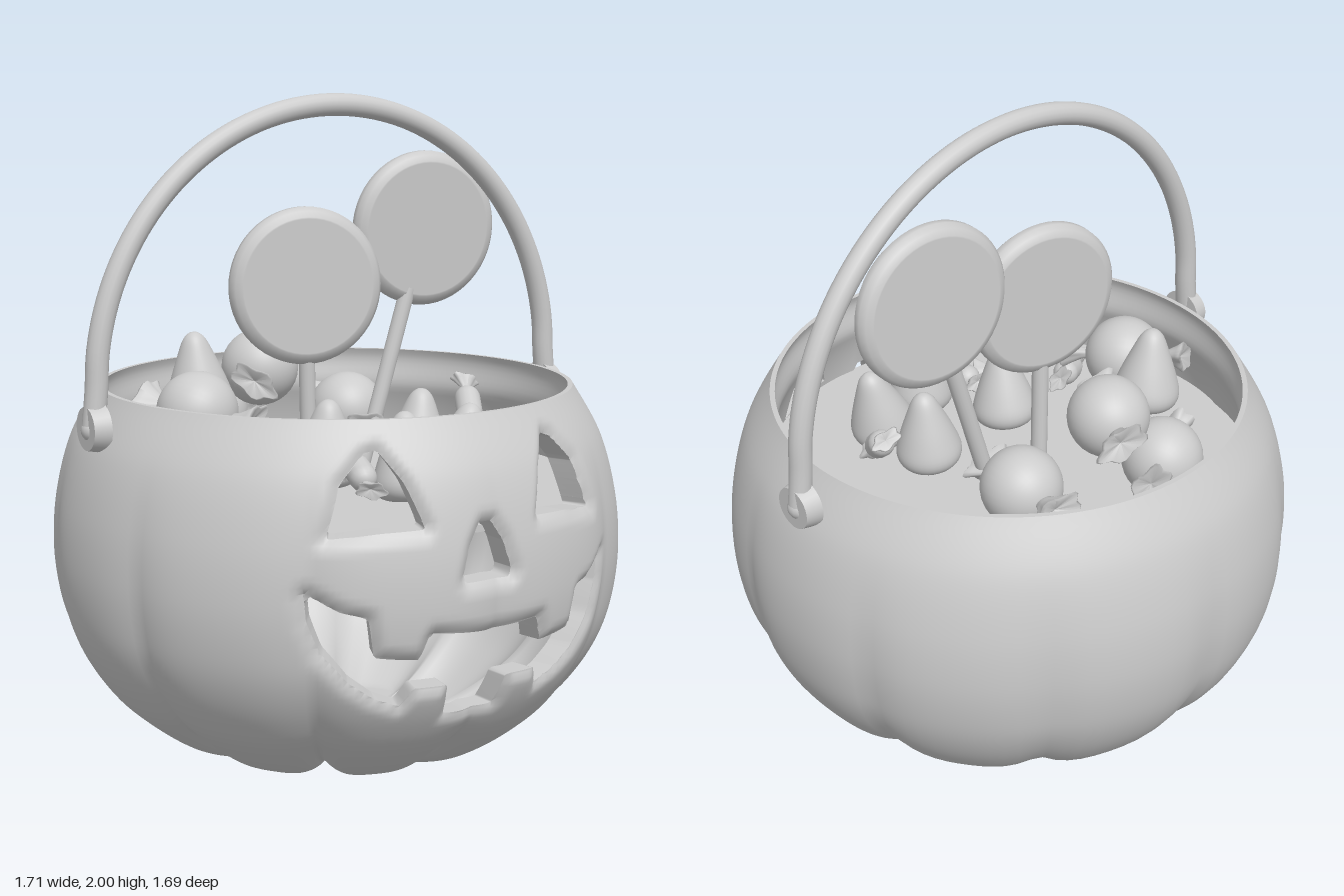
import * as THREE from 'three';
import { mergeVertices } from 'three/addons/utils/BufferGeometryUtils.js';

const V2 = (p) => new THREE.Vector2(p[0], p[1]);
const V3 = (x, y, z) => new THREE.Vector3(x, y, z);
const { smoothstep } = THREE.MathUtils;
const plastic = new THREE.MeshStandardMaterial({ color: 0xcccccc });
plastic.name = 'light grey';

function add(parent, name, geometry, x = 0, y = 0, z = 0) {
  const mesh = new THREE.Mesh(geometry, plastic);
  mesh.name = name;
  mesh.position.set(x, y, z);
  parent.add(mesh);
  return mesh;
}

// Face openings, given as one half around the face centre and mirrored
const FACE_X = -0.03;
const right = (pts) => pts.map(([x, y]) => [FACE_X + x, y]);
const left = (pts) => pts.map(([x, y]) => [FACE_X - x, y]);
const eye = [[0.27, 1.075], [0.22, 0.99], [0.18, 0.87], [0.3, 0.865], [0.43, 0.85], [0.38, 0.99], [0.31, 1.06]];
const nose = [[0.02, 0.875], [0.055, 0.82], [0.083, 0.73], [0.07, 0.718]];
const mouth = [[0, 0.575], [0.175, 0.59], [0.2, 0.515], [0.32, 0.53], [0.34, 0.64], [0.41, 0.66], [0.485, 0.71],
  [0.475, 0.63], [0.44, 0.54], [0.37, 0.455], [0.3, 0.405], [0.225, 0.375], [0.2, 0.43], [0.1, 0.43], [0.085, 0.335], [0, 0.325]];
const closed = (half) => [...right(half), ...left(half).reverse()];
const holes = [right(eye), left(eye), closed(nose), closed(mouth)];

// Signed distance to the openings, negative inside
function holeDistance(x, y) {
  let best = 1, inside = false;
  for (const h of holes) {
    for (let i = 0, j = h.length - 1; i < h.length; j = i++) {
      const [ax, ay] = h[j], [bx, by] = h[i];
      const ex = bx - ax, ey = by - ay;
      const t = Math.min(1, Math.max(0, ((x - ax) * ex + (y - ay) * ey) / (ex * ex + ey * ey || 1)));
      best = Math.min(best, Math.hypot(x - ax - t * ex, y - ay - t * ey));
      if ((ay > y) !== (by > y) && x < ax + (ex * (y - ay)) / ey) inside = !inside;
    }
  }
  return inside ? -best : best;
}

function smoothGeometry(positions) {
  const g = new THREE.BufferGeometry();
  g.setAttribute('position', new THREE.Float32BufferAttribute(positions, 3));
  const merged = mergeVertices(g, 1e-5);
  merged.computeVertexNormals();
  return merged;
}

// Ribbed pumpkin shell; the grid is clipped where it meets the openings
function buildShell(parent) {
  const profile = new THREE.SplineCurve([[0, 0.045], [0.07, 0.025], [0.17, 0.003], [0.3, 0.02], [0.5, 0.085], [0.66, 0.2],
    [0.75, 0.305], [0.81, 0.415], [0.843, 0.53], [0.856, 0.67], [0.842, 0.83], [0.795, 1.0], [0.71, 1.15]].map(V2));
  const ROWS = 92, COLS = 200;
  const rings = profile.getSpacedPoints(ROWS);

  const vertex = (col, row) => {
    const u = (col / COLS) * 2 - 1;
    const angle = Math.PI * (0.45 * u + 0.55 * u ** 3);
    const p = rings[row];
    const groove = (1 - Math.abs(Math.sin(5 * angle))) ** 2;
    const depth = 0.025 * (1 - smoothstep(p.y, 0.5, 1.1)) + 0.05 * (1 - smoothstep(p.y, 0, 0.5));
    const r = p.x * (1 - groove * depth);
    const y = p.y + 0.045 * groove * (1 - smoothstep(p.y, 0, 0.3)) * smoothstep(p.x, 0, 0.15);
    const s = Math.sin(angle), c = Math.cos(angle);
    const d = c > 0 ? holeDistance(s * r, y) : 1;
    const lip = 0.022 * Math.max(0, 1 - Math.max(0, d) / 0.035) ** 2;
    const ro = r - lip;
    const ri = Math.max(0, r - 0.015 - 0.075 * smoothstep(1.15 - y, 0, 0.14));
    return { o: V3(s * ro, y, c * ro), i: V3(s * ri, Math.max(y, 0.07), c * ri), d };
  };
  const grid = [];
  for (let r = 0; r <= ROWS; r++) {
    grid.push([]);
    for (let c = 0; c <= COLS; c++) grid[r].push(vertex(c, r));
  }

  const outer = [], inner = [], walls = [], rim = [];
  const push = (list, ...pts) => pts.forEach((p) => list.push(p.x, p.y, p.z));
  const quad = (list, a, b, c, d) => push(list, a, b, c, a, c, d);
  const clip = (tri) => {
    const poly = [];
    let exit, entry;
    tri.forEach((a, k) => {
      const b = tri[(k + 1) % 3];
      if (a.d > 0) poly.push(a);
      if ((a.d > 0) !== (b.d > 0)) {
        const t = a.d / (a.d - b.d);
        const m = { o: a.o.clone().lerp(b.o, t), i: a.i.clone().lerp(b.i, t) };
        poly.push(m);
        if (a.d > 0) exit = m; else entry = m;
      }
    });
    for (let k = 1; k + 1 < poly.length; k++) {
      push(outer, poly[0].o, poly[k].o, poly[k + 1].o);
      push(inner, poly[0].i, poly[k + 1].i, poly[k].i);
    }
    if (exit) quad(walls, entry.o, exit.o, exit.i, entry.i);
  };
  for (let r = 0; r < ROWS; r++) {
    for (let c = 0; c < COLS; c++) {
      const a = grid[r][c], b = grid[r][c + 1], e = grid[r + 1][c + 1], f = grid[r + 1][c];
      clip([a, b, e]);
      clip([a, e, f]);
      if (r === ROWS - 1) quad(rim, f.o, e.o, e.i, f.i);
    }
  }
  add(parent, 'pumpkinOutside', smoothGeometry(outer));
  add(parent, 'pumpkinInside', smoothGeometry(inner));
  add(parent, 'faceOpeningWalls', smoothGeometry(walls));
  add(parent, 'rim', smoothGeometry(rim));
}

// Flared, ruffled and flattened wrapper end opening along +y
function wrapperEnd(size) {
  const g = new THREE.LatheGeometry([[0, 0], [0.3, 0.05], [0.4, 0.35], [0.75, 0.8], [0.95, 1], [0.85, 1.08], [0, 0.8]].map(V2), 28);
  const p = g.attributes.position;
  for (let i = 0; i < p.count; i++) {
    const x = p.getX(i), y = p.getY(i), z = p.getZ(i);
    const ruffle = 1 + 0.14 * y * Math.cos(5 * Math.atan2(z, x));
    p.setXYZ(i, x * ruffle * size, y * size, z * ruffle * size * 0.55);
  }
  g.computeVertexNormals();
  return g;
}

// Wrapped sweet lying along the horizontal direction (dx, dz)
function wrappedSweet(parent, name, x, y, z, dx, dz, core, reach, endSize, rise = 0) {
  const sweet = new THREE.Group();
  sweet.name = name;
  add(sweet, 'sweetCore', core);
  for (const side of [1, -1]) {
    const end = add(sweet, 'wrapperEnd', wrapperEnd(endSize), 0, side * reach, 0);
    if (side < 0) end.rotation.x = Math.PI;
  }
  sweet.position.set(x, y, z);
  sweet.quaternion.setFromUnitVectors(V3(0, 1, 0), V3(dx, rise, dz).normalize());
  parent.add(sweet);
}

function lollipop(parent, x, y, z, radius, yaw, lean, foot) {
  const pop = new THREE.Group();
  pop.name = 'lollipop';
  const h = 0.035, r = radius;
  const disc = add(pop, 'lollipopDisc', new THREE.LatheGeometry([[0, -h], [r - 0.035, -h], [r - 0.03, -h], [r - 0.012, -h * 0.75],
    [r, -h * 0.3], [r, h * 0.3], [r - 0.012, h * 0.75], [r - 0.03, h], [r - 0.035, h], [0, h]].map(V2), 56), x, y, z);
  disc.rotation.set(Math.PI / 2 + lean, 0, 0);
  disc.rotation.order = 'YXZ';
  disc.rotation.y = yaw;
  const path = new THREE.LineCurve3(V3(...foot), V3(x, y, z).lerp(V3(...foot), 0.25));
  add(pop, 'lollipopStick', new THREE.TubeGeometry(path, 1, 0.025, 16));
  parent.add(pop);
}

export function createModel() {
  const model = new THREE.Group();
  model.name = 'pumpkinBucket';
  buildShell(model);

  // Filling surface inside the bucket
  add(model, 'fillingFloor', new THREE.CylinderGeometry(0.75, 0.75, 0.02, 64), 0, 0.84, 0);

  // Carrying handle and its side mounts
  const arc = [V3(-0.797, 1.07, 0)];
  for (let i = 0; i <= 24; i++) {
    const a = Math.PI * (1 - i / 24);
    arc.push(V3(0.785 * Math.cos(a), 1.18 + 0.787 * Math.sin(a), 0));
  }
  arc.push(V3(0.797, 1.07, 0));
  add(model, 'handle', new THREE.TubeGeometry(new THREE.CatmullRomCurve3(arc), 96, 0.033, 16));
  for (const side of [1, -1]) {
    const mount = add(model, 'handleMount', new THREE.CylinderGeometry(0.062, 0.072, 0.05, 32), side * 0.795, 1.075, 0);
    mount.rotation.z = -side * Math.PI / 2;
    add(model, 'handleEnd', new THREE.SphereGeometry(0.035, 16, 12), side * 0.797, 1.07, 0);
  }

  // Lollipops
  lollipop(model, -0.06, 1.43, -0.075, 0.237, -0.23, 0, [-0.04, 0.85, -0.09]);
  lollipop(model, 0.38, 1.585, -0.095, 0.24, -0.12, 0.05, [0.165, 0.85, -0.11]);

  // Large round wrapped sweets
  const ball = new THREE.SphereGeometry(0.121, 32, 24);
  [[-0.19, 1.0, -0.455, 0.145, -0.09], [-0.065, 1.15, -0.35, 0.1, -0.145],
    [0.215, 1.0, -0.28, 0.03, -0.15], [-0.435, 1.08, -0.065, -0.085, -0.145]].forEach(([x, y, z, dx, dz]) =>
    wrappedSweet(model, 'roundSweet', x, y, z, dx, dz, ball, 0.108, 0.082, 0.02));

  // Small wrapped sweets
  const pill = new THREE.CapsuleGeometry(0.04, 0.06, 6, 16);
  [[-0.385, 0.96, 0.13, 1, -0.6, 0.3], [-0.25, 0.98, 0.265, 0.6, 0.8, -0.4],
    [-0.14, 0.94, 0.36, 0.25, -1, 0.3], [0.415, 1.05, 0.11, 0.4, -0.8, 0.7]].forEach(([x, y, z, dx, dz, rise]) =>
    wrappedSweet(model, 'smallSweet', x, y, z, dx, dz, pill, 0.06, 0.05, rise));

  // Rounded cone sweets
  const cone = new THREE.LatheGeometry(new THREE.SplineCurve([[0, 0], [0.06, 0.003], [0.09, 0.02], [0.1, 0.055], [0.085, 0.11],
    [0.058, 0.18], [0.035, 0.232], [0.015, 0.252], [0, 0.255]].map(V2)).getPoints(32), 32);
  [[-0.32, 1.035, -0.26, 0, 0.1], [-0.13, 0.87, 0.15, 0.1, 0], [0.195, 0.87, 0.14, 0, -0.1],
    [-0.02, 0.86, 0.43, -0.1, 0], [0.185, 0.86, 0.36, 0, -0.25]].forEach(([x, y, z, rx, rz]) => {
    add(model, 'coneSweet', cone, x, y, z).rotation.set(rx, 0, rz);
  });
  return model;
}
